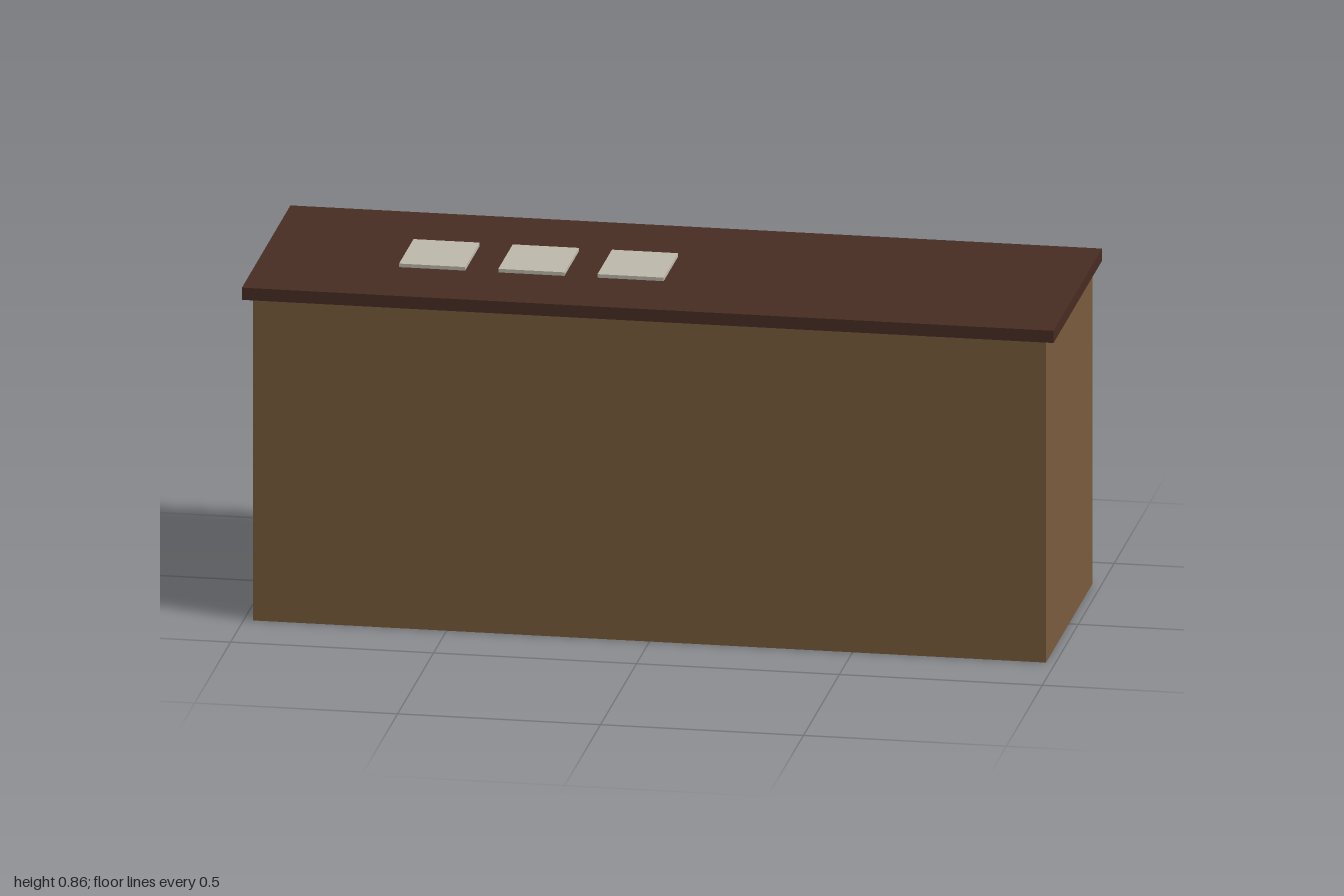
import * as THREE from 'three';

export function createModel() {
  const group = new THREE.Group();
  const mat = (name, color, side = THREE.FrontSide) => {
    const m = new THREE.MeshStandardMaterial({ color, side });
    m.name = name;
    return m;
  };
  const tan = mat('tan wood', 0x7b5d3d, THREE.DoubleSide);
  const dark = mat('dark wood', 0x492d23, THREE.DoubleSide);
  const paper = mat('paper', 0xc0bbad);

  const add = (name, geometry, material, x, y, z, turn = 0) => {
    const mesh = new THREE.Mesh(geometry, material);
    mesh.name = name;
    mesh.position.set(x, y, z);
    mesh.rotation.y = turn;
    group.add(mesh);
  };

  // Hollow body: thin panels, open underneath
  const halfW = 0.977, height = 0.822, front = 0.318, back = -0.332;
  const depth = front - back, midZ = (front + back) / 2;
  const longPanel = new THREE.PlaneGeometry(halfW * 2, height);
  const endPanel = new THREE.PlaneGeometry(depth, height);
  add('frontPanel', longPanel, tan, 0, height / 2, front);
  add('backPanel', longPanel, dark, 0, height / 2, back, Math.PI);
  for (const s of [-1, 1]) {
    add(s > 0 ? 'leftPanel' : 'rightPanel', endPanel, tan, s * halfW, height / 2, midZ, s * Math.PI / 2);
  }

  // Counter top, overhanging the front and the ends
  add('counterTop', new THREE.BoxGeometry(2, 0.031, 0.675), dark, 0, 0.8375, 0.0055);

  // Thin rail across the back
  add('backRail', new THREE.BoxGeometry(1.87, 0.015, 0.009), dark, 0, 0.2935, -0.3365);

  // Three sheets laid on the top
  const sheet = new THREE.BoxGeometry(0.163, 0.009, 0.201);
  for (let i = 0; i < 3; i++) {
    add('sheet' + (i + 1), sheet, paper, -0.572 + i * 0.2445, 0.8575, 0.0125);
  }
  return group;
}
